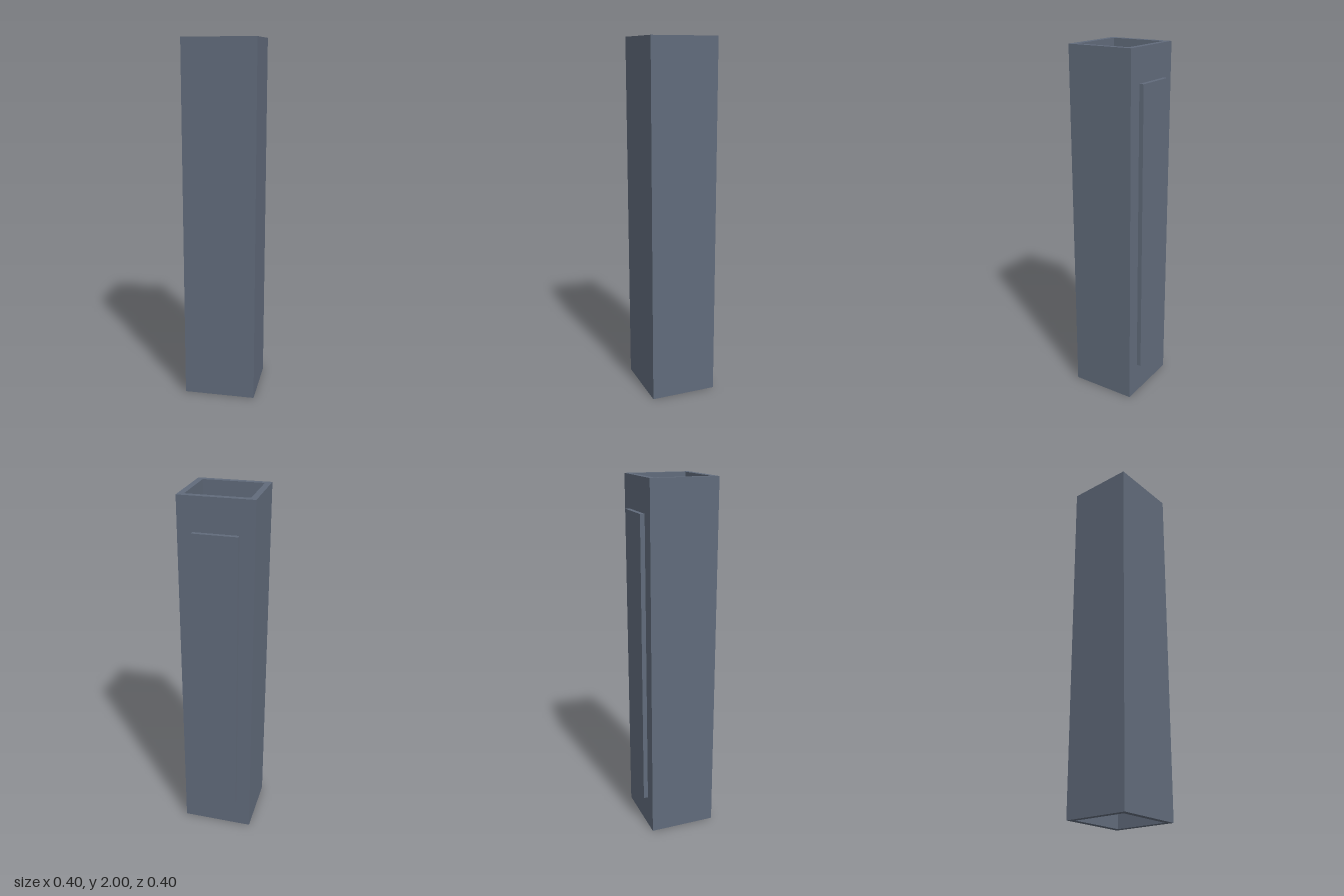
import * as THREE from 'three';

const frameMaterial = new THREE.MeshStandardMaterial({ color: 0x616b7b });
const coreMaterial = new THREE.MeshStandardMaterial({ color: 0xa0a8b3 });

function rectangle(path, x0, y0, x1, y1) {
  path.moveTo(x0, y0);
  path.lineTo(x1, y0);
  path.lineTo(x1, y1);
  path.lineTo(x0, y1);
  path.closePath();
  return path;
}

export function createModel() {
  const group = new THREE.Group();

  const add = (name, geometry, material, x, y, z) => {
    const mesh = new THREE.Mesh(geometry, material);
    mesh.name = name;
    mesh.position.set(x, y, z);
    group.add(mesh);
    return mesh;
  };

  // Square sleeve, open at both ends (shape y becomes -z once stood up)
  const outline = rectangle(new THREE.Shape(), -0.2, -0.2, 0.2, 0.175);
  outline.holes.push(rectangle(new THREE.Path(), -0.167, -0.167, 0.167, 0.142));
  const sleeve = new THREE.ExtrudeGeometry(outline, { depth: 2, bevelEnabled: false });
  sleeve.rotateX(-Math.PI / 2);
  add('sleeve', sleeve, frameMaterial, 0, 0, 0);

  // Core inside the sleeve, recessed equally at the top and bottom
  add('core', new THREE.BoxGeometry(0.334, 1.78, 0.309), coreMaterial, 0, 1, 0.0125);

  // Raised plate on the back
  add('backPlate', new THREE.BoxGeometry(0.24, 1.64, 0.025), frameMaterial, 0, 1, -0.1875);

  return group;
}
